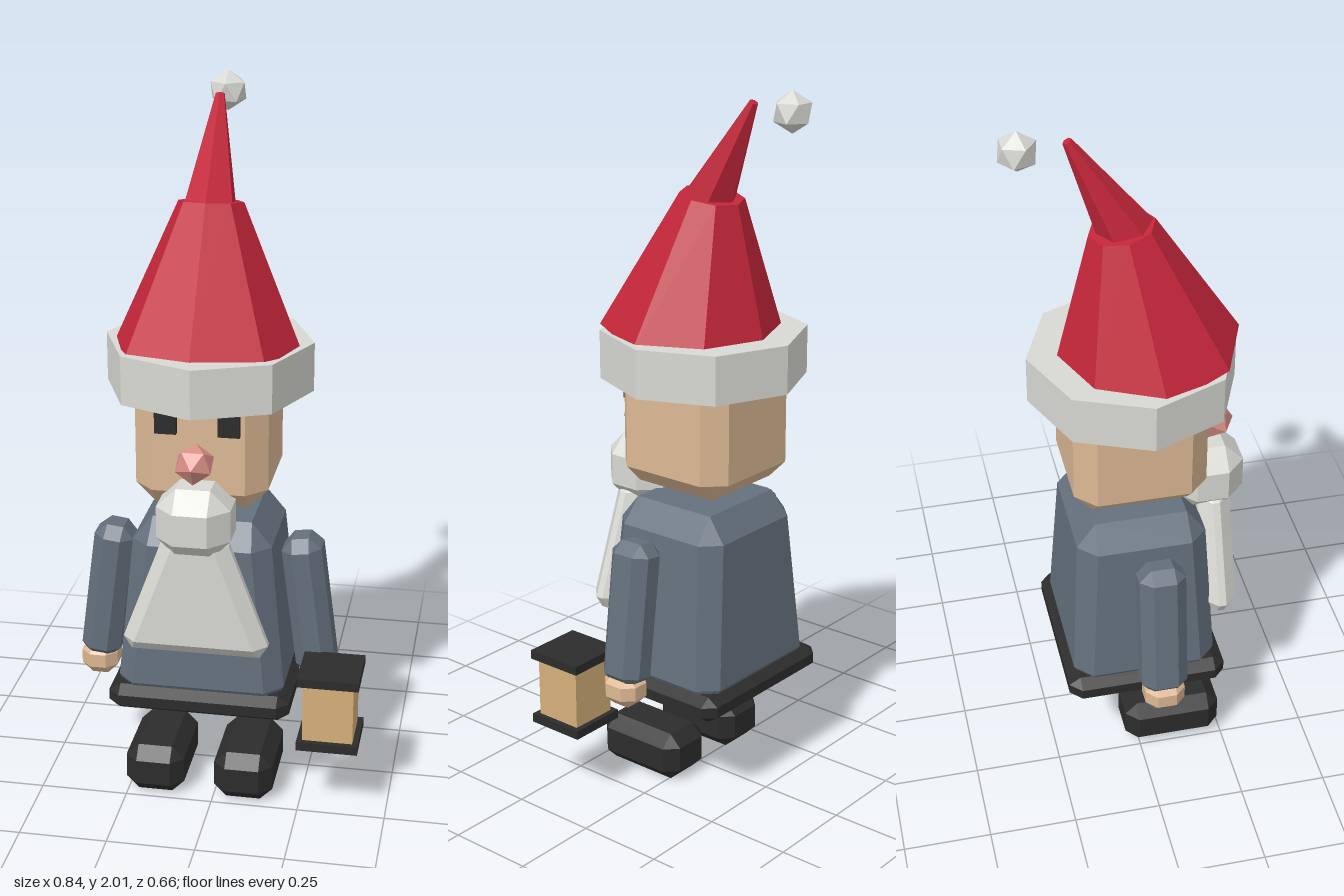
import * as THREE from 'three';
import { ConvexGeometry } from 'three/addons/geometries/ConvexGeometry.js';

const mat = (name, color) => {
  const m = new THREE.MeshStandardMaterial({ color, flatShading: true });
  m.name = name;
  return m;
};

// Box with chamfered edges, optionally narrowing towards the top
function chamferBox(w, h, d, c, { cy = c, topW = w, topD = d } = {}) {
  const pts = [];
  for (const sx of [-1, 1]) for (const sy of [-1, 1]) for (const sz of [-1, 1]) {
    for (const [ix, iy, iz] of [[0, 1, 1], [1, 0, 1], [1, 1, 0]]) {
      const y = sy * (h / 2 - iy * cy);
      const t = y / h + 0.5;
      const hw = THREE.MathUtils.lerp(w, topW, t) / 2 - ix * c;
      const hd = THREE.MathUtils.lerp(d, topD, t) / 2 - iz * c;
      pts.push(new THREE.Vector3(sx * hw, y, sz * hd));
    }
  }
  return new ConvexGeometry(pts);
}

// Cone section running between two centre points in the y-z plane
function coneBetween(y0, z0, r0, y1, z1, r1, sides) {
  const dy = y1 - y0, dz = z1 - z0;
  const g = new THREE.CylinderGeometry(r1, r0, Math.hypot(dy, dz), sides);
  g.rotateX(Math.atan2(dz, dy));
  return g.translate(0, (y0 + y1) / 2, (z0 + z1) / 2);
}

export function createModel() {
  const red = mat('hat red', 0xc4263a);
  const white = mat('warm white', 0xd8d9d3);
  const skin = mat('skin', 0xdcb894);
  const slate = mat('slate coat', 0x64707d);
  const black = mat('soft black', 0x2c2c2c);
  const pink = mat('nose pink', 0xd98f86);
  const gold = mat('lantern gold', 0xd6b07a);

  const model = new THREE.Group();
  const figure = new THREE.Group();
  figure.name = 'figure';
  figure.position.x = -0.042;
  model.add(figure);

  const add = (name, geo, material, x = 0, y = 0, z = 0, parent = figure) => {
    const mesh = new THREE.Mesh(geo, material);
    mesh.name = name;
    mesh.position.set(x, y, z);
    parent.add(mesh);
    return mesh;
  };

  // Coat and belt
  add('coat', chamferBox(0.49, 0.56, 0.425, 0.05, { cy: 0.07, topW: 0.38, topD: 0.362 }), slate, 0, 0.56, 0.013);
  add('belt', chamferBox(0.52, 0.075, 0.462, 0.033, { cy: 0.022 }), black, 0, 0.303, 0.014);

  // Paired parts
  for (const s of [-1, 1]) {
    const side = s > 0 ? 'left' : 'right';
    add(side + 'Boot', chamferBox(0.17, 0.145, 0.285, 0.036), black, s * 0.129, 0.0725, 0.103);
    add(side + 'Arm', chamferBox(0.114, 0.42, 0.132, 0.033), slate, s * 0.293, 0.56, 0.04).rotation.z = s * 0.13;
    add(side + 'Hand', chamferBox(0.106, 0.1, 0.115, 0.03), skin, s * 0.322, 0.342, 0.04);
    add(side + 'Eye', new THREE.BoxGeometry(0.06, 0.058, 0.03), black, s * 0.087, 1.142, 0.201);
  }

  // Head and face
  add('head', chamferBox(0.37, 0.37, 0.375, 0.056), skin, 0, 1.07, 0.013);
  add('beard', chamferBox(0.436, 0.37, 0.095, 0.037, { topW: 0.16 }), white, 0, 0.665, 0.243);
  add('moustache', chamferBox(0.205, 0.2, 0.2, 0.055), white, 0, 0.88, 0.23);
  add('nose', new THREE.IcosahedronGeometry(0.057).rotateX(0.5536), pink, 0, 1.045, 0.25);

  // Hat
  add('hatBrim', new THREE.CylinderGeometry(0.29, 0.29, 0.138, 8), white, 0, 1.26, 0.017);
  add('hatLower', coneBetween(1.31, 0.055, 0.262, 1.703, -0.011, 0.09, 8), red);
  add('hatTip', coneBetween(1.64, 0.025, 0.086, 1.966, -0.149, 0.013, 6), red);
  add('hatPompom', new THREE.IcosahedronGeometry(0.056).rotateX(-1.0172), white, 0, 1.953, -0.275);

  // Lantern beside the left hand
  const lantern = new THREE.Group();
  lantern.name = 'lantern';
  lantern.position.set(0.333, 0.322, 0.187);
  model.add(lantern);
  add('lanternGlass', new THREE.BoxGeometry(0.142, 0.18, 0.142), gold, 0, 0, 0, lantern);
  for (const s of [-1, 1]) {
    add(s > 0 ? 'lanternRoof' : 'lanternBase', new THREE.BoxGeometry(0.173, 0.026, 0.173), black, 0, s * 0.1, 0, lantern);
  }
  return model;
}
